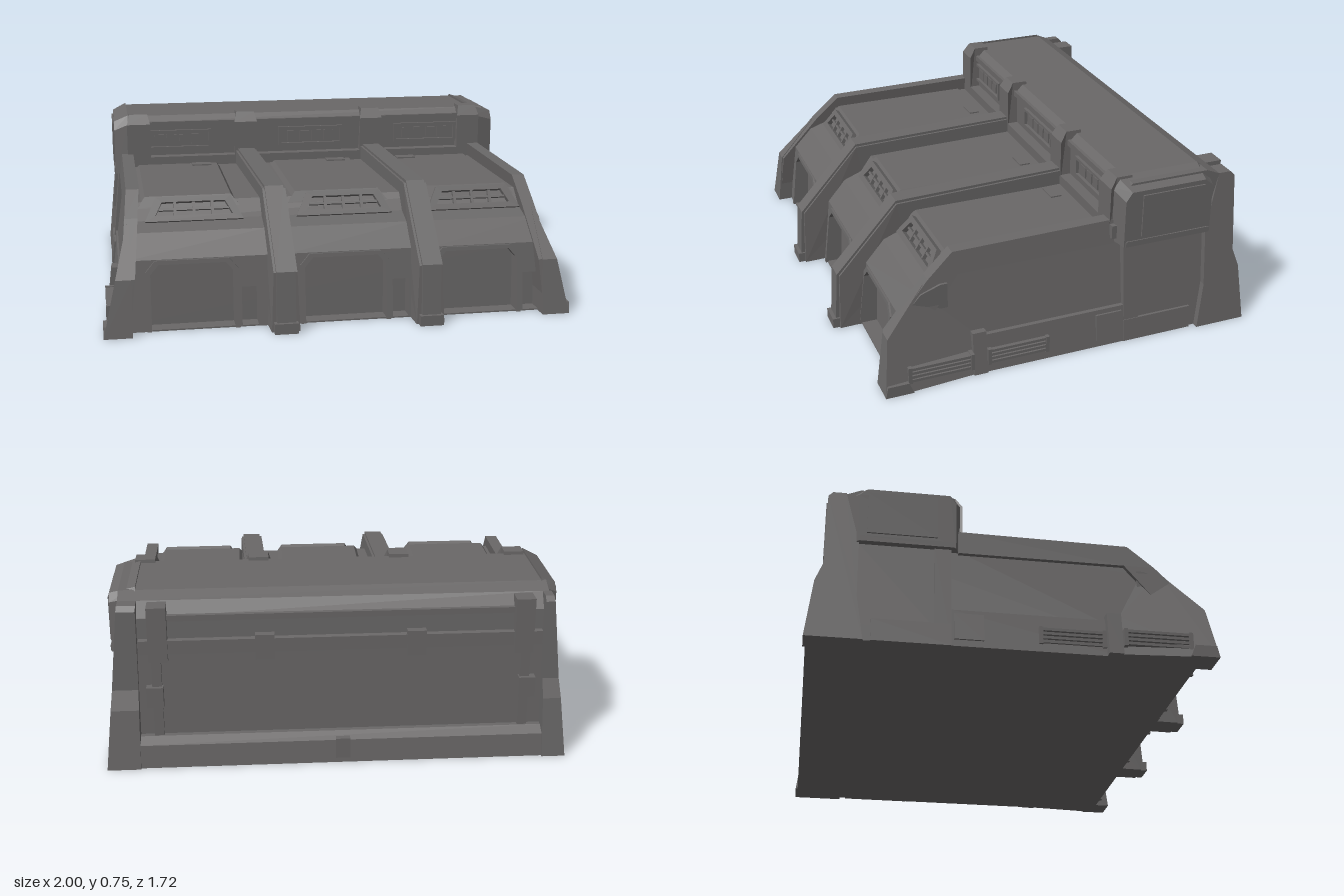
import * as THREE from 'three';

const gunmetal = new THREE.MeshStandardMaterial({ color: 0x6a6868 });
gunmetal.name = 'gunmetal';

export function createModel() {
  const model = new THREE.Group();
  model.name = 'hangar';

  const add = (name, geo, parent = model) => {
    const mesh = new THREE.Mesh(geo, gunmetal);
    mesh.name = name;
    parent.add(mesh);
    return mesh;
  };
  const box = (name, x0, x1, y0, y1, z0, z1, parent) => {
    const mesh = add(name, new THREE.BoxGeometry(x1 - x0, y1 - y0, z1 - z0), parent);
    mesh.position.set((x0 + x1) / 2, (y0 + y1) / 2, (z0 + z1) / 2);
    return mesh;
  };
  const polygon = pts => new THREE.Shape(pts.map(p => new THREE.Vector2(...p)));
  // Moves every vertex by a rule and keeps the facets flat
  const warp = (geo, rule) => {
    const p = geo.attributes.position, v = new THREE.Vector3();
    for (let i = 0; i < p.count; i++) {
      rule(v.fromBufferAttribute(p, i));
      p.setXYZ(i, v.x, v.y, v.z);
    }
    geo.computeVertexNormals();
    return geo;
  };
  // Side profile of [z, y] points, swept from x0 to x1
  const slab = (name, pts, x0, x1, rule, parent) => {
    const geo = new THREE.ExtrudeGeometry(polygon(pts), { depth: x1 - x0, bevelEnabled: false });
    geo.rotateY(-Math.PI / 2).translate(x1, 0, 0);
    return add(name, rule ? warp(geo, rule) : geo, parent);
  };
  // Same, on one side of the building, from inner to outer distance
  const sideSlab = (name, pts, side, inner, outer, rule) =>
    slab(name, pts, Math.min(side * inner, side * outer), Math.max(side * inner, side * outer), rule);

  // Main hull with inward leaning walls
  slab('hull', [[0.665, 0], [0.65, 0.3], [0.605, 0.39], [0.535, 0.42], [0.48, 0.495], [-0.3, 0.495], [-0.77, 0.5], [-0.78, 0]],
    -0.94, 0.955, v => { v.x *= 1 - 0.15 * v.y; });

  // Upper gallery across the rear
  slab('gallery', [[-0.28, 0.45], [-0.28, 0.7], [-0.31, 0.73], [-0.66, 0.73], [-0.72, 0.705],
    [-0.76, 0.64], [-0.765, 0.5], [-0.76, 0.45]], -0.87, 0.92);
  box('galleryLedge', -0.87, 0.91, 0.48, 0.54, -0.28, -0.23);
  box('galleryCornice', -0.84, 0.87, 0.68, 0.705, -0.28, -0.265);

  // Three bays: front wall with doorways, visor, roof plate, gallery windows
  const bays = [[-0.62, -0.9, -0.3], [0.03, -0.22, 0.33], [0.61, 0.41, 0.91]];
  bays.forEach(([c, x0, x1]) => {
    const bay = new THREE.Group();
    bay.name = 'bay';
    model.add(bay);
    const lean = (front, back) => v => { v.z = v.z > 0.5 ? front - 0.12 * v.y : back; };

    const wall = polygon([[x0, 0], [c - 0.18, 0], [c - 0.18, 0.24], [c - 0.145, 0.28], [c + 0.135, 0.28],
      [c + 0.17, 0.24], [c + 0.17, 0], [c + 0.2, 0], [c + 0.2, 0.17], [c + 0.27, 0.17], [c + 0.27, 0],
      [x1, 0], [x1, 0.3], [x0, 0.3]]);
    add('frontWall', warp(new THREE.ExtrudeGeometry(wall, { depth: 1, bevelEnabled: false }), lean(0.735, 0.56)), bay);
    slab('brow', [[0.5, 0.3], [0.699, 0.3], [0.615, 0.395], [0.53, 0.425], [0.5, 0.425]], x0, x1, null, bay);
    box('doorSill', x0, x1, 0, 0.006, 0.6, 0.733, bay);

    const arch = polygon([[c - 0.2, 0], [c - 0.18, 0], [c - 0.18, 0.24], [c - 0.145, 0.28], [c + 0.135, 0.28],
      [c + 0.17, 0.24], [c + 0.17, 0], [c + 0.19, 0], [c + 0.19, 0.25], [c + 0.15, 0.297], [c - 0.16, 0.297],
      [c - 0.2, 0.25]]);
    add('doorFrame', warp(new THREE.ExtrudeGeometry(arch, { depth: 1, bevelEnabled: false }), lean(0.743, 0.62)), bay);

    // Framed visor standing steeply behind the brow
    const visor = new THREE.Group();
    visor.name = 'visor';
    visor.position.set(c + 0.02, 0.415, 0.54);
    visor.rotation.x = -Math.atan2(0.055, 0.09);
    bay.add(visor);
    const rim = polygon([[-0.21, 0], [0.21, 0], [0.16, 0.108], [-0.16, 0.108]]);
    rim.holes.push(polygon([[-0.165, 0.025], [-0.135, 0.085], [0.135, 0.085], [0.165, 0.025]]));
    add('visorRim', new THREE.ExtrudeGeometry(rim, { depth: 0.022, bevelEnabled: false }), visor);
    box('visorLouvre', -0.15, 0.15, 0.05, 0.06, 0, 0.014, visor);
    for (let i = -1; i <= 1; i++) box('visorBar', i * 0.08 - 0.006, i * 0.08 + 0.006, 0.02, 0.09, 0, 0.017, visor);

    // Raised roof plate with chamfered rim
    slab('roofPlate', [[0.5, 0.47], [0.47, 0.515], [-0.18, 0.515], [-0.21, 0.47]], c - 0.22, c + 0.22, v => {
      if (v.y > 0.5) v.x += v.x < c ? 0.035 : -0.035;
    }, bay);
    const hatch = c < 0.5 ? c + 0.11 : c - 0.12;
    box('roofHatch', hatch - 0.045, hatch + 0.045, 0.51, 0.521, -0.17, -0.12, bay);

    // Gallery window strip with mullions
    const w = c + 0.01;
    for (const y of [0.57, 0.65]) box('windowSill', w - 0.16, w + 0.16, y, y + 0.012, -0.28, -0.266, bay);
    for (let i = 0; i < 2; i++) box('windowJamb', w - 0.16 + i * 0.306, w - 0.146 + i * 0.306, 0.57, 0.66, -0.28, -0.266, bay);
    for (let i = 0; i < 4; i++) box('windowPane', w - 0.115 + i * 0.06, w - 0.067 + i * 0.06, 0.59, 0.64, -0.28, -0.273, bay);
  });

  // Two large ribs between the bays, drifting slightly outward to the rear
  for (const x of [-0.25, 0.37]) {
    const drift = v => { v.x += 0.034 * (v.z - 0.8); };
    slab('rib', [[0.83, 0], [0.82, 0.255], [0.55, 0.55], [-0.23, 0.56], [-0.23, 0.3], [0.5, 0.3], [0.6, 0]],
      x - 0.06, x + 0.06, v => {
        if (v.y > 0.2) v.x += v.x < x ? 0.01 : -0.01;
        drift(v);
      });
    slab('ribCap', [[0.845, 0.04], [0.83, 0.26], [0.55, 0.562], [-0.23, 0.57], [-0.23, 0.5], [0.5, 0.5], [0.75, 0.2], [0.75, 0.04]],
      x - 0.04, x + 0.04, drift);
    box('ribFoot', x - 0.05, x + 0.05, 0, 0.045, 0.6, 0.86);
  }

  // Posts standing on the gallery front, above the ribs
  for (const x of [-0.8, -0.285, 0.335, 0.83]) {
    slab('galleryPost', [[-0.23, 0.48], [-0.23, 0.7], [-0.26, 0.745], [-0.33, 0.745], [-0.35, 0.48]],
      x - 0.055, x + 0.055, v => { if (v.y > 0.72) v.x += v.x < x ? 0.012 : -0.012; });
  }

  for (const s of [-1, 1]) {
    // The rear stands a little further out on the left
    const wallX = s > 0 ? 0.97 : 0.945;
    const podX = s > 0 ? 0.96 : 0.915;
    const rearX = s > 0 ? 0.99 : 0.95;
    const leanOuter = rate => v => { if (Math.abs(v.x) > 0.9) v.x -= s * rate * v.y; };

    // End rib along the roof edge
    sideSlab('endRib', [[0.79, 0], [0.765, 0.24], [0.58, 0.45], [0.47, 0.55], [-0.25, 0.558], [-0.25, 0.45], [0.45, 0.45], [0.6, 0.25], [0.62, 0]],
      s, 0.83, 0.9, v => { v.x = s * (Math.abs(v.x) > 0.87 ? 0.95 - 0.12 * v.y : 0.89 - 0.11 * v.y); });

    // Flared front corner and its foot
    sideSlab('frontCorner', [[0.8, 0], [0.77, 0.24], [0.6, 0.43], [0.53, 0.43], [0.41, 0.19], [0.41, 0]],
      s, 0.88, 1, v => { if (Math.abs(v.x) > 0.95) v.x = s * (0.97 + (v.z - 0.41) * 0.077 - 0.22 * v.y); });
    sideSlab('cornerFoot', [[0.8, 0], [0.79, 0.05], [0.7, 0.05], [0.68, 0]], s, 0.88, 1);

    // Side skirt, its posts and vents
    sideSlab('skirt', [[0.41, 0], [0.41, 0.17], [-0.28, 0.17], [-0.28, 0]], s, 0.85, wallX, leanOuter(0.12));
    sideSlab('skirtPost', [[0.41, 0], [0.41, 0.19], [0.35, 0.19], [0.35, 0]], s, 0.85, 0.978, leanOuter(0.12));
    sideSlab('skirtPanel', [[-0.15, 0.03], [-0.15, 0.15], [-0.27, 0.15], [-0.27, 0.03]], s, 0.85, wallX + 0.008, leanOuter(0.12));
    for (const [z0, z1, x] of [[0.42, 0.69, 0.98], [0.08, 0.34, wallX]]) {
      for (let i = 0; i < 4; i++) {
        sideSlab('vent', [[z0, 0.04], [z0, 0.052], [z1, 0.052], [z1, 0.04]], s, x - 0.05, x + 0.004)
          .position.y = i * 0.018;
      }
      for (const z of [z0, z1]) sideSlab('ventEnd', [[z - 0.008, 0.035], [z - 0.008, 0.11], [z + 0.008, 0.11], [z + 0.008, 0.035]], s, x - 0.05, x + 0.006);
    }

    // Gallery end pod with chamfered edges and panel
    sideSlab('endPod', [[-0.24, 0.46], [-0.24, 0.7], [-0.27, 0.74], [-0.65, 0.74], [-0.69, 0.71], [-0.69, 0.46]],
      s, 0.85, podX, v => {
        if (Math.abs(v.x) > 0.9) { v.z = -0.465 + (v.z + 0.465) * 0.9; if (v.y > 0.5) v.y -= 0.03; }
      });
    sideSlab('endPanel', [[-0.34, 0.5], [-0.34, 0.69], [-0.63, 0.69], [-0.63, 0.5]], s, 0.85, podX + 0.007);
    sideSlab('podSill', [[-0.27, 0.46], [-0.27, 0.485], [-0.66, 0.485], [-0.66, 0.46]], s, 0.8, podX + 0.005);

    // Wall pier below the pod, with corner strip and base band
    const pier = (name, z0, z1, y1, out) => sideSlab(name, [[z0, 0], [z0, y1], [z1, y1], [z1, 0]], s, 0.8, out, leanOuter(0.1));
    pier('sidePier', -0.28, -0.66, 0.46, wallX - 0.008);
    pier('pierStrip', -0.28, -0.35, 0.46, wallX);
    pier('pierBase', -0.28, -0.6, 0.1, wallX + 0.003);

    // Flared rear corner buttress
    sideSlab('rearButtress', [[-0.86, 0], [-0.83, 0.26], [-0.8, 0.34], [-0.795, 0.685], [-0.775, 0.705],
      [-0.72, 0.705], [-0.66, 0.46], [-0.66, 0.2], [-0.63, 0]],
      s, 0.85, rearX, v => { v.x -= s * (Math.abs(v.x) > 0.9 ? 0.1 : 0.01) * v.y; });

    // Rear posts with equipment boxes
    box('rearPost', s * 0.76 - 0.04, s * 0.76 + 0.04, 0.46, 0.7, -0.8, -0.7);
    box('rearConduit', s * 0.77 - 0.02, s * 0.77 + 0.02, 0.12, 0.46, -0.795, -0.74);
    box('rearEquipment', s * 0.78 - 0.035, s * 0.78 + 0.035, 0.26, 0.35, -0.81, -0.74);
  }

  // Rear wall: base ledge, girder band and brackets
  slab('rearBase', [[-0.7, 0], [-0.7, 0.125], [-0.8, 0.125], [-0.84, 0.1], [-0.85, 0]], -0.9, 0.92);
  slab('rearGirder', [[-0.7, 0.48], [-0.7, 0.56], [-0.785, 0.55], [-0.785, 0.49]], -0.84, 0.84);
  box('rearTopBand', -0.74, 0.74, 0.63, 0.655, -0.77, -0.7);
  for (const x of [-0.31, 0.32]) box('girderBracket', x - 0.04, x + 0.04, 0.46, 0.57, -0.795, -0.72);
  box('rearBasePanel', -0.03, 0.03, 0.02, 0.11, -0.85, -0.8);

  return model;
}
